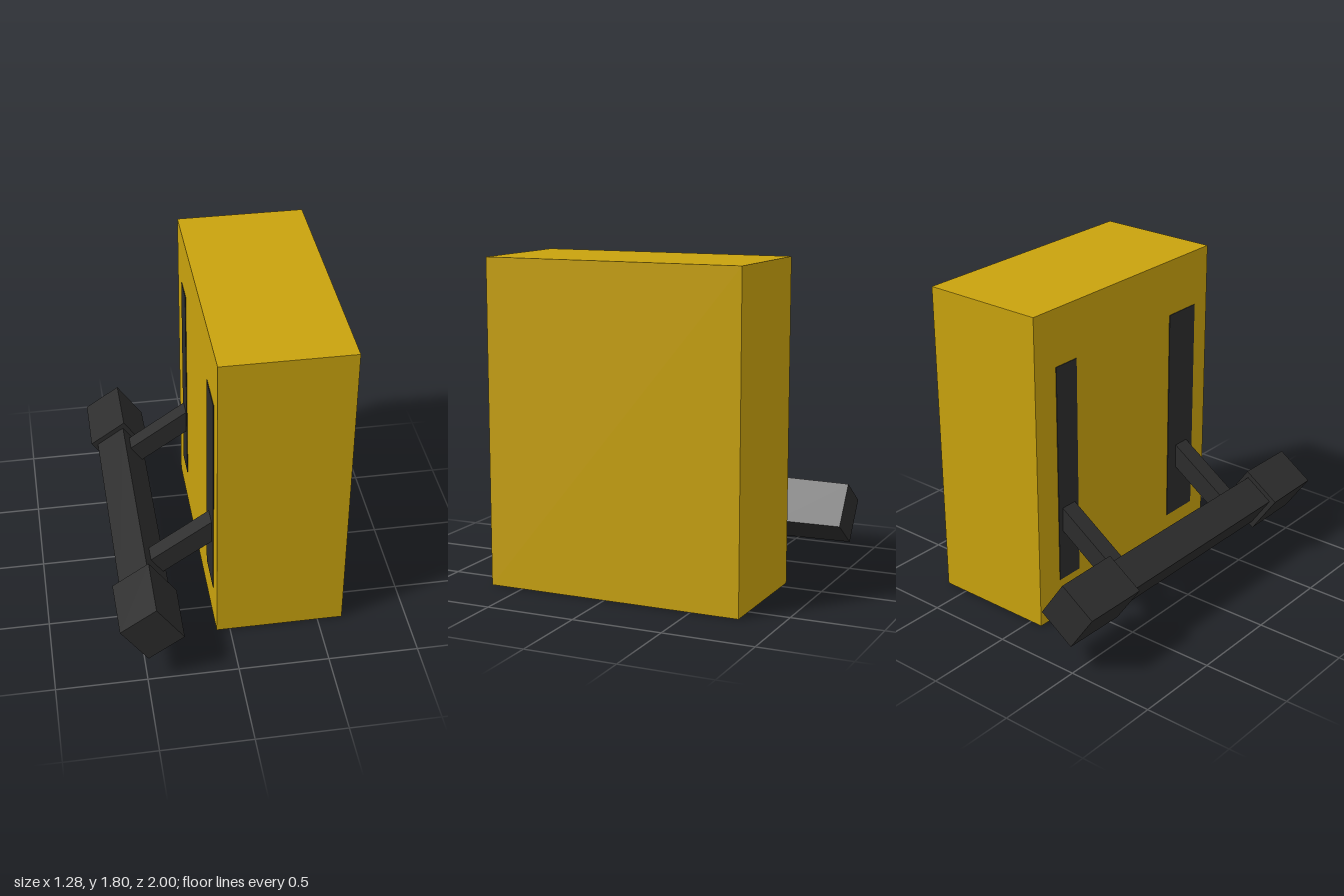
import * as THREE from 'three';

export function createModel() {
  const model = new THREE.Group();
  const yellow = new THREE.MeshStandardMaterial({ color: 0xc9a20d });
  yellow.name = 'yellow';
  const black = new THREE.MeshStandardMaterial({ color: 0x2c2c2c });
  black.name = 'black';

  function box(name, material, parent, x0, x1, y0, y1, z0, z1) {
    const mesh = new THREE.Mesh(new THREE.BoxGeometry(x1 - x0, y1 - y0, z1 - z0), material);
    mesh.name = name;
    mesh.position.set((x0 + x1) / 2, (y0 + y1) / 2, (z0 + z1) / 2);
    parent.add(mesh);
    return mesh;
  }

  // Main block
  box('body', yellow, model, -0.075, 0.64, 0, 1.805, -0.77, 0.69);

  // Flat vertical strips behind the arms
  box('backStrip', black, model, -0.079, -0.073, 0.22, 1.485, -0.61, -0.45);
  box('frontStrip', black, model, -0.079, -0.073, 0.22, 1.485, 0.345, 0.575);

  // Tilted handle: local x runs along the arms, up into the body
  const handle = new THREE.Group();
  handle.name = 'handle';
  handle.position.set(-0.467, 0.333, 0);
  handle.rotation.z = THREE.MathUtils.degToRad(34.3);
  model.add(handle);

  box('bar', black, handle, -0.095, 0.095, -0.105, 0.105, -0.63, 0.65);
  box('backArm', black, handle, 0, 0.58, -0.069, 0.047, -0.58, -0.48);
  box('frontArm', black, handle, 0, 0.58, -0.069, 0.047, 0.42, 0.52);

  // End grips, narrowing very slightly outwards
  for (const [name, z0, z1] of [['backGrip', -1, -0.62], ['frontGrip', 0.64, 1]]) {
    const grip = box(name, black, handle, -0.122, 0.122, -0.133, 0.133, z0, z1);
    const p = grip.geometry.attributes.position;
    for (let i = 0; i < p.count; i++) {
      if (p.getZ(i) * grip.position.z > 0) p.setXY(i, p.getX(i) * 0.975, p.getY(i) * 0.975);
    }
    grip.geometry.computeVertexNormals();
  }

  return model;
}
